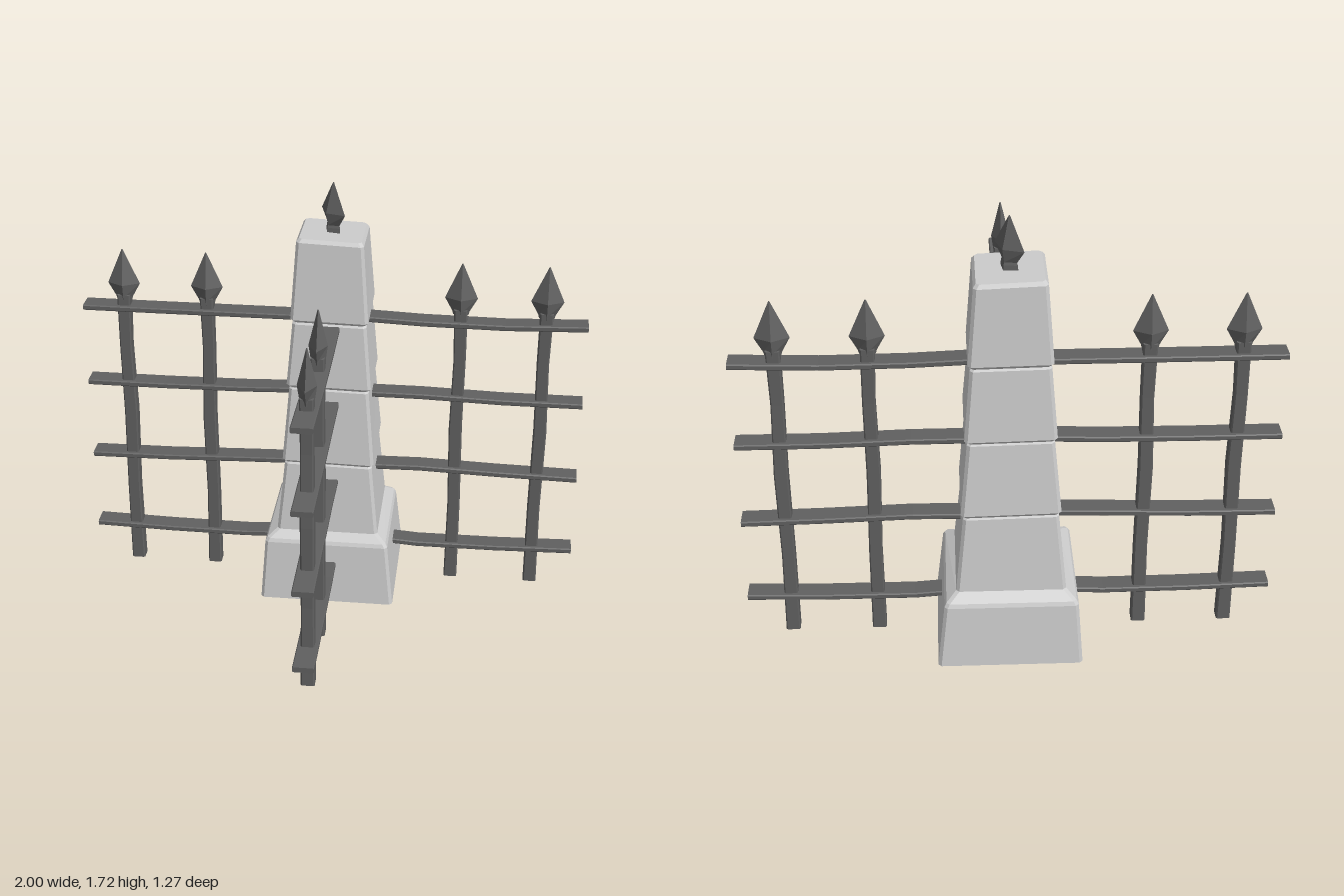
import * as THREE from 'three';

const stone = new THREE.MeshStandardMaterial({ color: 0xcccccc, flatShading: true });
const iron = new THREE.MeshStandardMaterial({ color: 0x606060, flatShading: true });

// Skin a stack of equal-length point loops (counter-clockwise about the axis) and cap both ends
function loft(name, rings, material) {
  const pos = [];
  const tri = (...pts) => pts.forEach((p) => pos.push(...p));
  const n = rings[0].length;
  for (let k = 0; k + 1 < rings.length; k++) {
    const lo = rings[k], hi = rings[k + 1];
    for (let i = 0; i < n; i++) {
      const j = (i + 1) % n;
      tri(lo[i], lo[j], hi[j]);
      tri(lo[i], hi[j], hi[i]);
    }
  }
  const first = rings[0], last = rings[rings.length - 1];
  for (let i = 1; i + 1 < n; i++) {
    tri(first[0], first[i + 1], first[i]);
    tri(last[0], last[i], last[i + 1]);
  }
  const geo = new THREE.BufferGeometry();
  geo.setAttribute('position', new THREE.Float32BufferAttribute(pos, 3));
  geo.computeVertexNormals();
  const mesh = new THREE.Mesh(geo, material);
  mesh.name = name;
  return mesh;
}

// Rectangle with chamfered corners, half sizes a and b
function chamferRect(a, b, c) {
  return [[a, -b + c], [a, b - c], [a - c, b], [-a + c, b],
    [-a, b - c], [-a, -b + c], [-a + c, -b], [a - c, -b]];
}

// Square ring around the vertical axis; tiltX and tiltZ slope it
function block([y, hx, hz, tiltX = 0, tiltZ = 0, cx = 0], c = 0.012) {
  return chamferRect(hz, hx, c).map(([z, x]) => [x + cx, y + x * tiltX + z * tiltZ, z]);
}

// Four-sided spearhead: rows of [y, half width, half depth]
function spear(name, rows) {
  return loft(name, rows.map(([y, w, d]) => [[0, y, d], [w, y, 0], [0, y, -d], [-w, y, 0]]), iron);
}

// Flat bar along +x, following the points [x, y]
function rail(points) {
  return loft('rail', points.map(([x, y]) =>
    chamferRect(0.011, 0.041, 0.004).map(([h, z]) => [x, y + h, z])), iron);
}

// Upright square bar with a slight hand-forged sway, plus its spearhead
function picket(x, sway) {
  const g = new THREE.Group();
  g.name = 'picket';
  const levels = [[0, 0.027, 0], [0.35, 0.025, 0.4], [0.7, 0.026, -0.5], [1.0, 0.024, 0.5], [1.22, 0.026, 0]];
  g.add(loft('picketBar', levels.map(([y, h, s]) => block([y, h, h, 0, 0, s * sway], 0.005)), iron));
  g.add(spear('spearhead', [[1.195, 0.03, 0.026], [1.21, 0.034, 0.028], [1.265, 0.064, 0.036], [1.408, 0.002, 0.002]]));
  g.position.x = x;
  return g;
}

// One fence arm running outward along +x from the pillar
function fenceArm(name, angle, rows, sway) {
  const g = new THREE.Group();
  g.name = name;
  const inner = [0.22, 0.17, 0.15, 0.13];
  rows.forEach((ys, r) => {
    const xs = [inner[r], 0.36, 0.68, 1];
    g.add(rail(ys.map((y, i) => [xs[i], y])));
  });
  g.add(picket(0.503, sway), picket(0.837, -sway));
  g.rotation.y = angle;
  return g;
}

export function createModel() {
  const model = new THREE.Group();
  model.name = 'fenceCorner';
  const centre = new THREE.Group();
  centre.name = 'pillarAndFence';
  centre.position.z = -0.36;
  model.add(centre);

  // Plinth with a sloped shoulder
  centre.add(loft('plinth', [
    [0, 0.272, 0.275, 0, 0, 0.005], [0.25, 0.25, 0.25, 0, 0.01], [0.265, 0.242, 0.243, 0, 0.01],
    [0.292, 0.205, 0.205],
  ].map((r) => block(r)), stone));

  // Tapered stone courses: bottom y, half size, top y, half size, tilts of both seams
  const courses = [
    [0.28, 0.205, 0.6, 0.176, 0, -0.04],
    [0.595, 0.184, 0.915, 0.158, -0.04, 0.03],
    [0.91, 0.167, 1.2, 0.145, 0.03, -0.04],
    [1.195, 0.152, 1.522, 0.13, -0.04, 0.02],
  ];
  courses.forEach(([y0, h0, y1, h1, t0, t1], i) => {
    const topX = i === 3 ? -0.04 : -0.02;
    const botX = i ? -0.02 : 0;
    centre.add(loft('stoneCourse', [
      [y0, h0 - 0.01, h0 - 0.01, botX, t0], [y0 + 0.012, h0, h0, botX, t0],
      [y1 - 0.014, h1, h1, topX, t1], [y1, h1 - 0.01, h1 - 0.01, topX, t1],
    ].map((r) => block(r)), stone));
  });

  // Spear finial on the pillar, set diagonally
  const finial = spear('pillarFinial', [
    [1.5, 0.045, 0.034], [1.54, 0.04, 0.03], [1.55, 0.036, 0.027], [1.6, 0.07, 0.036], [1.718, 0.002, 0.002],
  ]);
  finial.rotation.y = -Math.PI / 4;
  centre.add(finial);

  // Three fence arms, each rail bent a little differently (heights from pillar outward)
  centre.add(
    fenceArm('leftFence', 0, [
      [0.166, 0.156, 0.157, 0.165], [0.515, 0.518, 0.508, 0.502],
      [0.845, 0.845, 0.836, 0.836], [1.172, 1.163, 1.16, 1.17]], 0.006),
    fenceArm('rightFence', Math.PI, [
      [0.166, 0.158, 0.16, 0.168], [0.52, 0.515, 0.505, 0.502],
      [0.845, 0.838, 0.835, 0.836], [1.166, 1.166, 1.166, 1.167]], -0.006),
    fenceArm('frontFence', -Math.PI / 2, [
      [0.17, 0.161, 0.162, 0.17], [0.512, 0.52, 0.513, 0.503],
      [0.853, 0.85, 0.842, 0.838], [1.17, 1.16, 1.158, 1.17]], 0.006),
  );
  return model;
}
